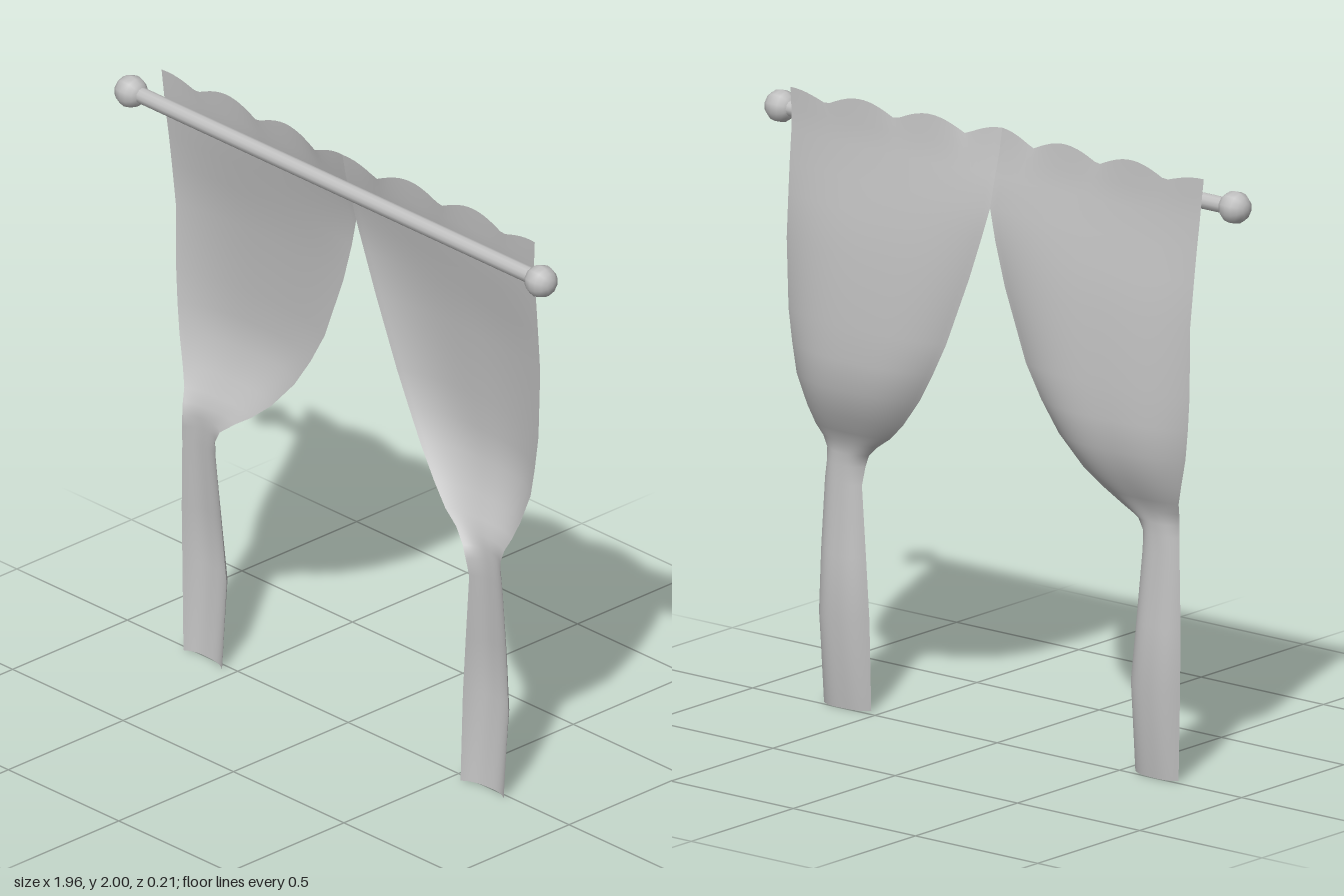
import * as THREE from 'three';

const ACROSS = 36;

// Curtain cross-sections from hem to top: y, inner x, outer x, inner z, middle z, outer z
const ROWS = [
  [0, 0.54, 0.725, 0.03, 0.0, 0.02],
  [0.3, 0.535, 0.738, 0.015, -0.035, 0.012],
  [0.5, 0.553, 0.735, 0.02, -0.02, 0.018],
  [0.73, 0.574, 0.725, 0.025, 0.0, 0.025],
  [0.79, 0.568, 0.721, 0.035, 0.0, 0.03],
  [0.83, 0.55, 0.72, 0.03, 0.003, 0.03],
  [0.87, 0.5, 0.728, 0.01, -0.005, 0.02],
  [0.91, 0.44, 0.742, 0.0, -0.025, 0.0],
  [0.97, 0.37, 0.764, -0.02, -0.06, -0.015],
  [1.07, 0.285, 0.795, -0.04, -0.1, -0.03],
  [1.17, 0.222, 0.809, -0.05, -0.105, -0.035],
  [1.28, 0.163, 0.82, -0.055, -0.102, -0.04],
  [1.51, 0.073, 0.825, -0.05, -0.085, -0.043],
  [1.65, 0.028, 0.829, -0.043, -0.06, -0.03],
  [1.75, 0, 0.832, -0.035, -0.042, -0.02],
  [1.85, 0, 0.835, -0.01, -0.02, -0.008],
  [1.92, 0, 0.839, 0.01, -0.01, -0.003],
  [1.96, 0, 0.845, 0.025, -0.003, 0],
];

// One half of the curtain, lofted through the rows; side is +1 or -1
function curtainHalf(side) {
  const pos = [], index = [], n = ACROSS + 1;
  ROWS.forEach(([y, xi, xo, zi, zm, zo], r) => {
    for (let i = 0; i < n; i++) {
      const t = i / ACROSS;
      const x = xi + (xo - xi) * t;
      const belly = 1 - Math.abs(2 * t - 1) ** 3;
      const z = zi + (zo - zi) * t + (zm - (zi + zo) / 2) * belly;
      // scalloped top edge
      const top = r === ROWS.length - 1 ? 0.04 * Math.abs(Math.cos(Math.PI * x / 0.277)) : 0;
      pos.push(side * x, y + (x > 0.69 ? top * 0.7 : top), z);
    }
  });
  for (let r = 0; r < ROWS.length - 1; r++) {
    for (let i = 0; i < ACROSS; i++) {
      const a = r * n + i, b = a + 1, c = a + n, d = c + 1;
      if (side > 0) index.push(a, b, d, a, d, c);
      else index.push(a, d, b, a, c, d);
    }
  }
  const g = new THREE.BufferGeometry();
  g.setAttribute('position', new THREE.Float32BufferAttribute(pos, 3));
  g.setIndex(index);
  g.computeVertexNormals();
  return g;
}

export function createModel() {
  const group = new THREE.Group();
  const grey = new THREE.MeshStandardMaterial({ color: 0xc0c0c0, side: THREE.DoubleSide });
  grey.name = 'plain grey';

  const add = (geometry, name, x = 0, y = 0, z = 0) => {
    const mesh = new THREE.Mesh(geometry, grey);
    mesh.name = name;
    mesh.position.set(x, y, z);
    group.add(mesh);
  };

  // Gathered curtains
  add(curtainHalf(1), 'leftCurtain');
  add(curtainHalf(-1), 'rightCurtain');

  // Rod with round finials
  add(new THREE.CylinderGeometry(0.026, 0.026, 1.8, 12).rotateZ(Math.PI / 2), 'rod', 0, 1.9, 0.05);
  for (const side of [1, -1]) {
    add(new THREE.SphereGeometry(0.053, 10, 8).rotateZ(Math.PI / 2),
      side > 0 ? 'leftFinial' : 'rightFinial', side * 0.928, 1.9, 0.053);
  }
  return group;
}
